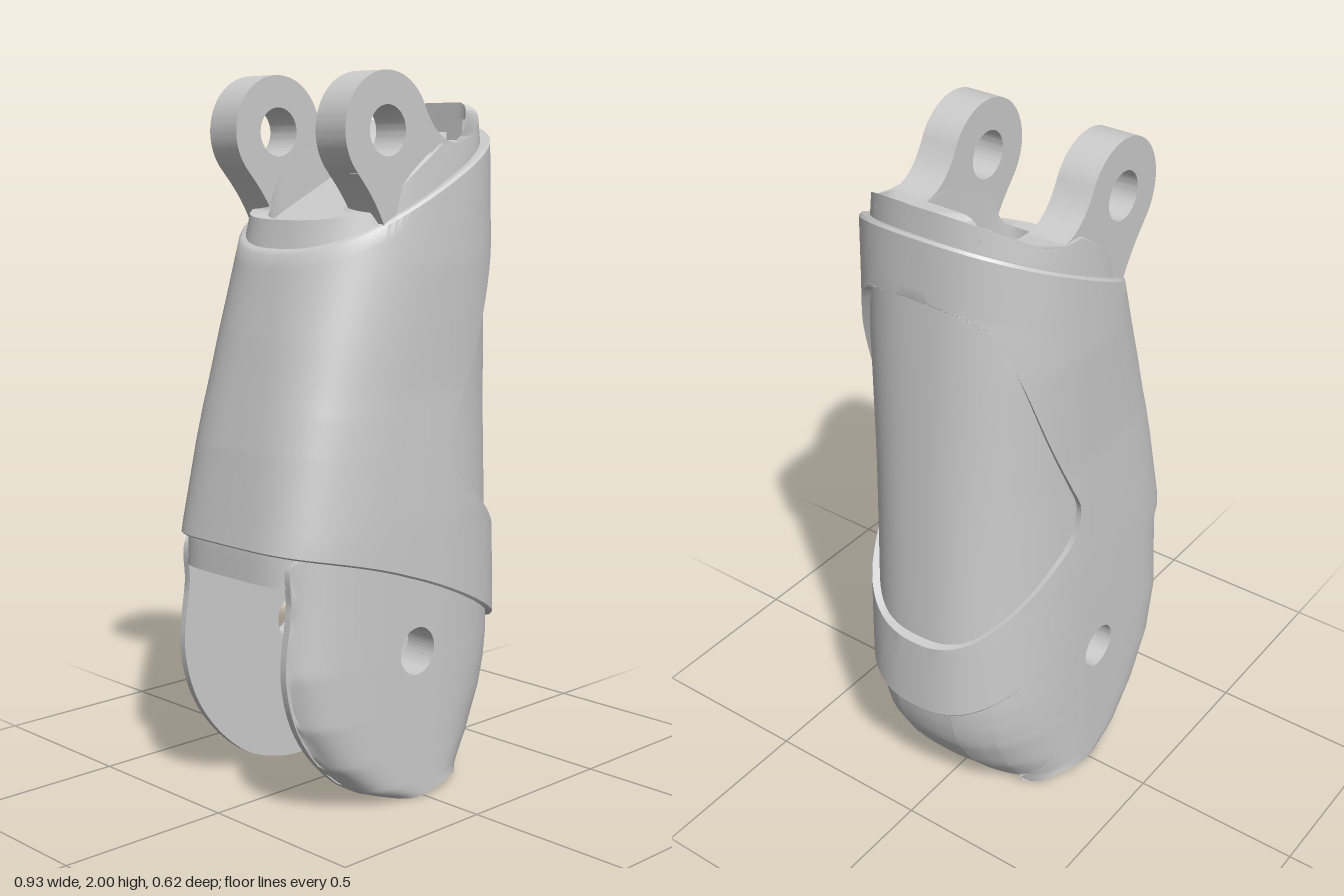
import * as THREE from 'three';
import { toCreasedNormals, mergeGeometries } from 'three/addons/utils/BufferGeometryUtils.js';

const grey = new THREE.MeshStandardMaterial({ color: 0xcccccc, side: THREE.DoubleSide });
const lerp = THREE.MathUtils.lerp;

// piecewise linear lookup in a list of [key, value]
function table(pts, k) {
  if (k <= pts[0][0]) return pts[0][1];
  for (let i = 1; i < pts.length; i++) {
    const [k0, a] = pts[i - 1], [k1, b] = pts[i];
    if (k <= k1) return lerp(a, b, (k - k0) / (k1 - k0));
  }
  return pts[pts.length - 1][1];
}

// surface from rows of [x, y, z] points; mirror flips it in z
function skin(rows, mirror = false) {
  const n = rows[0].length, pos = [], idx = [];
  rows.forEach(r => r.forEach(p => pos.push(p[0], p[1], mirror ? -p[2] : p[2])));
  for (let i = 0; i < rows.length - 1; i++) for (let j = 0; j < n - 1; j++) {
    const a = i * n + j, b = a + n, c = a + 1, d = b + 1;
    if (mirror) idx.push(a, c, b, b, c, d);
    else idx.push(a, b, c, b, d, c);
  }
  const g = new THREE.BufferGeometry();
  g.setAttribute('position', new THREE.Float32BufferAttribute(pos, 3));
  g.setIndex(idx);
  return g;
}

function add(group, name, geo, crease = 0.65) {
  const m = new THREE.Mesh(toCreasedNormals(geo, crease), grey);
  m.name = name;
  group.add(m);
  return m;
}

// point of a limb cross-section: round at +x, blunt at -x but rounder higher up
const backRoundness = [[0.75, 0.5], [1.1, 0.58], [1.5, 0.78], [1.7, 0.8]];
function section(u, y, xl, xr, hz, inset = 0) {
  const c = Math.cos(u), s = Math.sin(u), e = c > 0 ? 0.8 : table(backRoundness, y);
  const x = (xl + xr) / 2 + ((xr - xl) / 2 - inset) * Math.sign(c) * Math.abs(c) ** e;
  return [x, y, (hz - inset) * Math.sign(s) * Math.abs(s) ** e];
}

// finds the point whose height lies between two slanted limits
function slanted(u, v, low, high, at) {
  let p = at(u, 1.1);
  for (let k = 0; k < 14; k++) p = at(u, lerp(low(p[0]), high(p[0]), v));
  return p;
}

// ---- inner body with collar and shallow sloping recess ----
const bodyLeft = [[0.6, -0.462], [0.75, -0.452], [1, -0.406], [1.3, -0.336], [1.5, -0.282], [1.62, -0.25], [1.93, -0.2]];
const bodyRight = [[0.55, 0.44], [0.65, 0.438], [1.69, 0.388], [1.93, 0.372]];
const bodyDepth = [[0.6, 0.295], [1.1, 0.289], [1.5, 0.295], [1.65, 0.288], [1.8, 0.28], [1.93, 0.265]];
const rim = [[-0.3, 1.6], [-0.15, 1.63], [-0.02, 1.74], [0.08, 1.812], [0.15, 1.815], [0.22, 1.835], [0.3, 1.885], [0.37, 1.93]];

function body() {
  const N = 96, rows = [], floor = x => 1.68 + 0.5 * x;
  const us = Array.from({ length: N + 1 }, (_, j) => j / N * Math.PI * 2);
  const at = (u, y) => section(u, y, table(bodyLeft, y), table(bodyRight, y), table(bodyDepth, y));
  for (let i = 0; i <= 30; i++)
    rows.push(us.map(u => slanted(u, i / 30, x => 0.61 - 0.11 * x, x => table(rim, x), at)));
  rows.unshift(rows[0].map(() => [0, 0.61, 0]));
  const top = rows[rows.length - 1];
  const recess = us.map((u, j) => {
    const c = Math.cos(u), s = Math.sin(u), e = c > 0 ? 0.2 : 0.3;
    return [0.0675 + 0.2675 * Math.sign(c) * Math.abs(c) ** e, top[j][1], 0.155 * Math.sign(s) * Math.abs(s) ** e];
  });
  rows.push(recess, recess.map(p => [p[0], floor(p[0]), p[2]]), recess.map(() => [0.07, floor(0.07), 0]));
  return skin(rows);
}

// ---- outer sleeve with front window ----
const sleeveLeft = [[0.75, -0.468], [1, -0.42], [1.3, -0.35], [1.5, -0.298], [1.9, -0.18]];
const sleeveRight = [[0.4, 0.466], [0.64, 0.46], [1.3, 0.428], [1.69, 0.407], [1.9, 0.402]];
const sleeveDepth = [[0.4, 0.313], [0.8, 0.312], [1.15, 0.305], [1.5, 0.312], [1.7, 0.306], [1.9, 0.295]];
// window edge as [height fraction, angle from the front]
const windowEdge = [[0.157, 0], [0.158, 0.2], [0.165, 0.45], [0.195, 0.8], [0.24, 1.15], [0.3, 1.4], [0.37, 1.45],
  [0.45, 1.38], [0.6, 1.17], [0.75, 0.91], [0.84, 0.66], [0.865, 0.52], [0.875, 0.3], [0.877, 0]];

function sleeve() {
  const M = 48, low = x => 0.62 - 0.38 * x - 0.23 * x * x, high = x => 1.67 + 0.5 * x;
  const point = (u, v, inset) => slanted(u, v, low, high, (w, y) =>
    section(w, y, table(sleeveLeft, y), table(sleeveRight, y), table(sleeveDepth, y), inset));
  const edge = new THREE.CatmullRomCurve3(windowEdge.map(p => new THREE.Vector3(p[0], p[1], 0))).getPoints(78);
  // plain bands below and above the window: [height fraction, inset]
  const band = list => list.map(([v, inset]) =>
    Array.from({ length: M + 1 }, (_, j) => point(Math.PI * j / M, v, inset)));
  const lower = band([[0, 0.032], [0, 0.005], [0.006, 0], [0.05, 0], [0.1, 0], [0.157, 0]]);
  const upper = band([[0.877, 0], [0.9, 0], [0.95, 0], [0.993, 0], [1, 0.006], [1, 0.032]]);
  // rows beside the window follow its edge in front and spread evenly behind
  const beside = edge.map((p, i) => {
    const a = Math.max(0, p.y), row = [point(a, p.x, 0.03)];
    for (let j = 0; j <= M; j++) {
      const t = j / M;
      row.push(point(lerp(a, Math.PI, t), lerp(p.x, lerp(0.157, 0.877, i / 78), t ** 0.6), 0));
    }
    return row;
  });
  return mergeGeometries([lower, beside, upper].flatMap(r => [skin(r), skin(r, true)]));
}

// ---- lower end: cross-section limits by height ----
const endRight = [[0.005, 0.23], [0.04, 0.255], [0.08, 0.29], [0.13, 0.335], [0.25, 0.405], [0.32, 0.427], [0.4, 0.44], [0.7, 0.438]];
const endLeft = [[0.004, -0.1], [0.047, -0.22], [0.14, -0.335], [0.27, -0.425], [0.42, -0.46], [0.6, -0.444], [0.74, -0.436]];
const endDepth = 0.302, inner = 0.2;

// x of the rounded front at a given height and depth
function frontX(y, z) {
  const xl = table(endLeft, y), xr = table(endRight, y);
  return (xl + xr) / 2 + (1 - (Math.abs(z) / endDepth) ** 2.5) ** 0.4 * (xr - xl) / 2;
}

// cheek plate around the pivot hole
const cheekOutline = [[0.365, 0.67], [0, 0.71], [-0.415, 0.73], [-0.427, 0.6], [-0.447, 0.42], [-0.41, 0.27], [-0.32, 0.14],
  [-0.2, 0.047], [-0.03, 0.004], [0.07, 0.02], [0.14, 0.028], [0.2, 0.008], [0.28, 0.12], [0.34, 0.25], [0.365, 0.4], [0.367, 0.6]];

function cheekRows() {
  const hx = -0.03, hy = 0.43, r = 0.067;
  const outline = new THREE.CatmullRomCurve3(cheekOutline.map(p => new THREE.Vector3(p[0], p[1], 0)), true).getSpacedPoints(140);
  // the front edge meets the joining wall
  outline.forEach(p => { if (p.x > 0.2 && p.y > 0.03 && p.y < 0.64) p.x = frontX(p.y, inner); });
  const outerZ = (x, y) => {
    const xl = table(endLeft, y), xr = table(endRight, y);
    const f = (x - (xl + xr) / 2) / ((xr - xl) / 2), n = f > 0 ? 2.5 : 5;
    return Math.max(f > 0 ? inner : 0.222, endDepth * Math.max(0, 1 - Math.abs(f) ** n) ** (1 / n));
  };
  const ring = (t, z) => outline.map(p => {
    const a = Math.atan2(p.y - hy, p.x - hx);
    const x = lerp(hx + r * Math.cos(a), p.x, t), y = lerp(hy + r * Math.sin(a), p.y, t);
    return [x, y, z ?? outerZ(x, y)];
  });
  const rows = [ring(0, inner)];
  for (let i = 0; i <= 20; i++) rows.push(ring(1 - (1 - i / 20) ** 1.5));
  rows.push(ring(1, inner), ring(0, inner));
  return rows;
}

// curved wall joining the cheeks, with a notch in its lower edge
function frontWall() {
  const zs = [-0.2, -0.17, -0.13, -0.1, -0.1, -0.05, 0, 0.05, 0.1, 0.1, 0.13, 0.17, 0.2], rows = [];
  const row = (t, thick) => zs.map((z, j) => {
    const y = lerp(j > 3 && j < 9 ? 0.085 : 0.04, 0.64, t);
    return [frontX(y, z) - thick, y, z];
  });
  for (let i = 0; i <= 20; i++) rows.push(row(i / 20, 0));
  for (let i = 20; i >= 0; i--) rows.push(row(i / 20, 0.06));
  rows.push(row(0, 0));
  return skin(rows);
}

// ---- upper hinge lug ----
function lug() {
  const s = new THREE.Shape();
  s.moveTo(-0.13, 1.59);
  s.quadraticCurveTo(-0.16, 1.66, -0.23, 1.735);
  s.absarc(-0.12, 1.845, 0.155, Math.PI * 1.25, Math.PI / 6, true);
  s.bezierCurveTo(0.05, 1.85, 0.09, 1.818, 0.15, 1.812);
  s.lineTo(0.15, 1.6);
  const hole = new THREE.Path();
  hole.absarc(-0.12, 1.845, 0.067, 0, Math.PI * 2, false);
  s.holes.push(hole);
  return new THREE.ExtrudeGeometry(s, { depth: 0.111, bevelEnabled: false, curveSegments: 32 });
}

export function createModel() {
  const model = new THREE.Group();
  model.name = 'limbSegment';
  add(model, 'innerBody', body());
  add(model, 'outerSleeve', sleeve());
  add(model, 'lowerFrontWall', frontWall());
  const rows = cheekRows();
  for (const side of [1, -1]) {
    const label = side > 0 ? 'Front' : 'Back';
    add(model, 'lowerCheek' + label, skin(rows, side < 0));
    add(model, 'hingeLug' + label, lug()).position.z = side > 0 ? 0.158 : -0.269;
    // corner block at the front of the recess
    const block = add(model, 'recessCorner' + label, new THREE.BoxGeometry(0.055, 0.12, 0.06));
    block.position.set(0.315, 1.82, side * 0.13);
  }
  return model;
}
